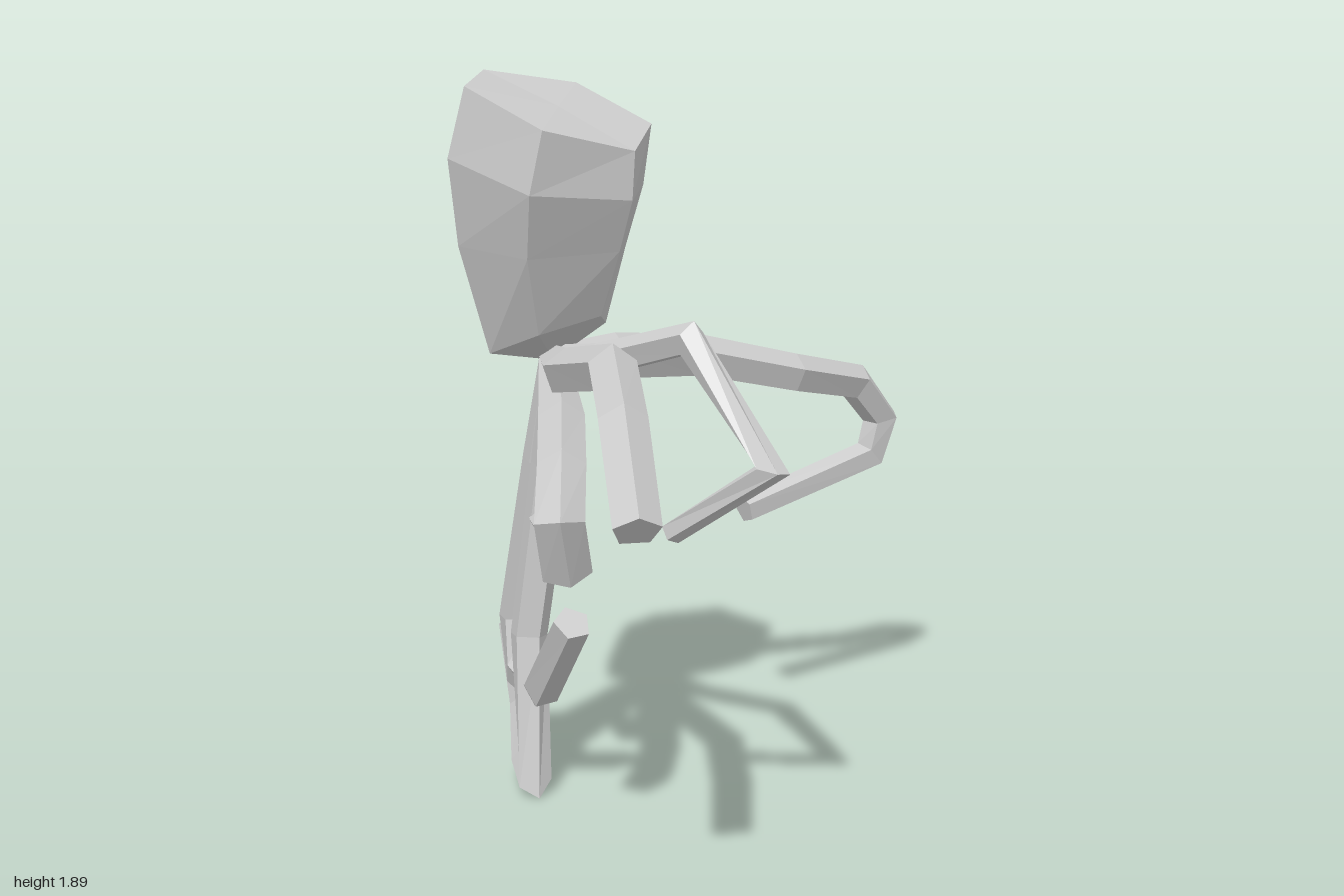
import * as THREE from 'three';

const V = (x, y, z) => new THREE.Vector3(x, y, z);
const material = new THREE.MeshStandardMaterial({ color: 0xcccccc, flatShading: true });

// Skin a list of equal-sided rings (counter-clockwise about the path) and close both ends.
function loft(rings, startPoint, endPoint) {
  const pos = [];
  const tri = (...points) => points.forEach((p) => pos.push(p.x, p.y, p.z));
  const n = rings[0].length;
  for (let i = 0; i < n; i++) {
    const j = (i + 1) % n;
    for (let k = 0; k + 1 < rings.length; k++) {
      const lo = rings[k], hi = rings[k + 1];
      tri(lo[i], lo[j], hi[j]);
      tri(lo[i], hi[j], hi[i]);
    }
    const last = rings[rings.length - 1];
    tri(startPoint, rings[0][j], rings[0][i]);
    tri(endPoint, last[i], last[j]);
  }
  const geometry = new THREE.BufferGeometry();
  geometry.setAttribute('position', new THREE.Float32BufferAttribute(pos, 3));
  geometry.computeVertexNormals();
  return geometry;
}

const HUB = V(-0.32, 1.15, 0.13);

// Five-sided arm swept along a bent path with mitred joints, tapering to the tip.
function armGeometry(coords, rBase, rTip, sides = 5) {
  const path = [HUB, ...coords.map((c) => V(...c))];
  const dirs = path.slice(1).map((p, i) => p.clone().sub(path[i]).normalize());
  let normal = V(0, 1, 0);
  if (Math.abs(dirs[0].y) > 0.8) normal = V(0, 0, 1);
  const rings = path.map((p, k) => {
    const before = dirs[Math.max(k - 1, 0)];
    const after = dirs[Math.min(k, dirs.length - 1)];
    const t = before.clone().add(after).normalize();
    normal = normal.clone().addScaledVector(t, -normal.dot(t)).normalize();
    const side = t.clone().cross(normal);
    const bend = after.clone().sub(before);
    const stretch = Math.min(1 / Math.max(before.dot(t), 0.1), 1.4) - 1;
    bend.normalize();
    const f = Math.max(k - 1, 0) / (path.length - 2);
    const r = k === 0 ? 0.04 : rBase + (rTip - rBase) * f;
    return Array.from({ length: sides }, (_, i) => {
      const a = (i / sides) * Math.PI * 2;
      const o = normal.clone().multiplyScalar(r * Math.cos(a)).addScaledVector(side, r * Math.sin(a));
      o.addScaledVector(bend, o.dot(bend) * stretch);
      return o.add(p);
    });
  });
  return loft(rings, path[0], path[path.length - 1]);
}

// Hexagonal head ring: left, inner left, inner right and right corners, then front and back z.
function headRing([x0, y0, x1, y1, x2, y2, x3, y3, zf, zb]) {
  const zm = (zf + zb) / 2;
  return [V(x0, y0, zm), V(x1, y1, zf), V(x2, y2, zf), V(x3, y3, zm), V(x2, y2, zb), V(x1, y1, zb)];
}

const HEAD = [
  [-0.47, 1.195, -0.40, 1.18, -0.24, 1.24, -0.15, 1.28, 0.29, 0.01],
  [-0.54, 1.50, -0.42, 1.46, -0.20, 1.44, -0.07, 1.45, 0.38, -0.025],
  [-0.55, 1.70, -0.405, 1.68, -0.15, 1.60, -0.015, 1.58, 0.43, -0.035],
  [-0.485, 1.89, -0.36, 1.855, -0.12, 1.755, -0.01, 1.70, 0.415, -0.03],
];

// Each arm: base radius, tip radius, bend points after the hub.
const ARMS = {
  frontArchedArm: [0.06, 0.055, [[-0.1, 1.17, 0.36], [0.22, 1.24, 0.6], [0.41, 1.17, 0.82], [0.54, 0.98, 0.95]]],
  frontCurledArm: [0.06, 0.062, [[-0.1, 1.05, 0.38], [0.04, 0.98, 0.56], [0.11, 0.88, 0.66], [0.09, 0.75, 0.61]]],
  leftFoldedArm: [0.045, 0.03, [[-0.1, 1.18, 0.23], [0.22, 1.27, 0.29], [0.5, 1.0, 0.37], [0.21, 0.81, 0.355]]],
  backLongArm: [0.065, 0.04, [[-0.26, 1.14, -0.05], [-0.19, 1.11, -0.34], [-0.04, 1.04, -0.6],
    [0.02, 0.985, -0.85], [0.05, 0.87, -0.95], [0.03, 0.76, -0.92], [-0.13, 0.655, -0.49]]],
  frontShortArm: [0.05, 0.035, [[-0.2, 1.0, 0.25], [-0.13, 0.8, 0.35], [-0.17, 0.74, 0.32], [-0.31, 0.74, 0.2]]],
  backShortArm: [0.045, 0.035, [[-0.35, 0.97, 0.05], [-0.4, 0.74, -0.01], [-0.4, 0.63, 0.01], [-0.38, 0.67, 0.12]]],
  rightHookedArm: [0.055, 0.05, [[-0.37, 0.88, 0.12], [-0.47, 0.43, 0.11], [-0.44, 0.29, 0.13],
    [-0.3, 0.29, 0.22], [-0.12, 0.52, 0.32]]],
  lowestArm: [0.055, 0.035, [[-0.31, 0.88, 0.16], [-0.36, 0.42, 0.2], [-0.31, 0.05, 0.25],
    [-0.38, 0.07, 0.19], [-0.47, 0.18, 0.09], [-0.56, 0.38, 0.03]]],
};

export function createModel() {
  const group = new THREE.Group();
  const add = (name, geometry) => {
    const mesh = new THREE.Mesh(geometry, material);
    mesh.name = name;
    group.add(mesh);
  };

  // Tilted head, closed by a flat crown and drawn in to the hub below
  const top = V(-0.245, 1.803, 0.1925);
  add('head', loft(HEAD.map(headRing), HUB, top));

  // Eight arms radiating from the hub
  for (const [name, [rBase, rTip, points]] of Object.entries(ARMS)) {
    add(name, armGeometry(points, rBase, rTip));
  }
  return group;
}
